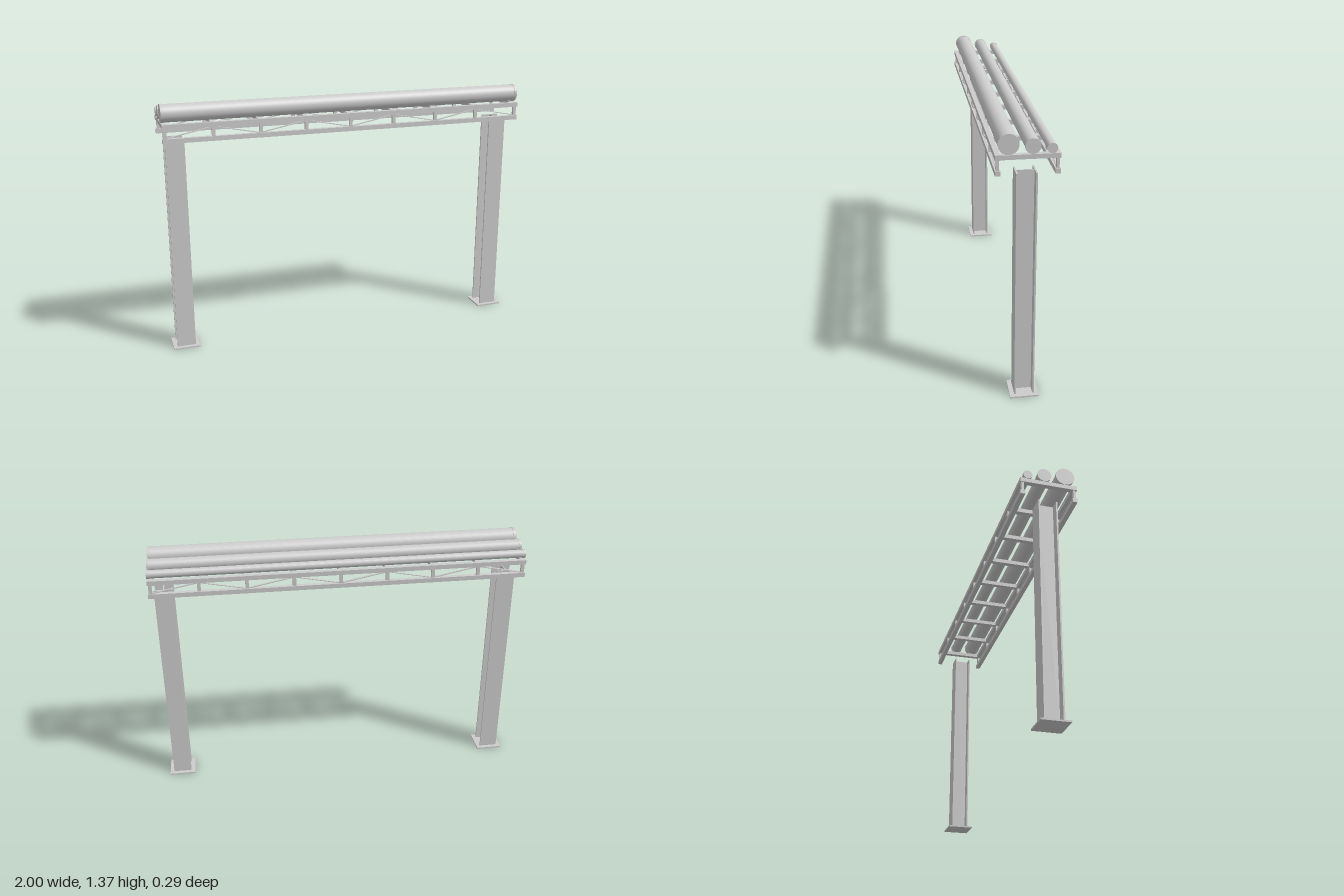
import * as THREE from 'three';

export function createModel() {
  const model = new THREE.Group();
  model.name = 'pipeRack';
  const material = new THREE.MeshStandardMaterial({ color: 0xcccccc });

  const add = (parent, name, geometry, x, y, z) => {
    const mesh = new THREE.Mesh(geometry, material);
    mesh.name = name;
    mesh.position.set(x, y, z);
    parent.add(mesh);
    return mesh;
  };
  const box = (parent, name, w, h, d, x, y, z) =>
    add(parent, name, new THREE.BoxGeometry(w, h, d), x, y, z);

  // I-section columns on base plates
  const plateH = 0.008, columnTop = 1.174;
  const profile = new THREE.Shape([
    [-0.05, -0.049], [0.05, -0.049], [0.05, -0.041], [0.003, -0.041],
    [0.003, 0.041], [0.05, 0.041], [0.05, 0.049], [-0.05, 0.049],
    [-0.05, 0.041], [-0.003, 0.041], [-0.003, -0.041], [-0.05, -0.041],
  ].map(([x, y]) => new THREE.Vector2(x, y)));
  const columnGeometry = new THREE.ExtrudeGeometry(profile, {
    depth: columnTop - plateH, bevelEnabled: false,
  }).rotateX(-Math.PI / 2);
  for (const side of [-1, 1]) {
    const support = new THREE.Group();
    support.name = side > 0 ? 'leftSupport' : 'rightSupport';
    support.position.x = side * 0.928;
    box(support, 'basePlate', 0.144, plateH, 0.144, 0, plateH / 2, 0);
    add(support, 'column', columnGeometry, 0, plateH, 0);
    model.add(support);
  }

  // Two side trusses: chords, posts and alternating thin diagonals
  const bays = 8, chord = 0.024, topY = 1.26, bottomY = 1.187;
  const postX = (i) => -0.986 + (i * 1.972) / bays;
  const low = bottomY + chord / 2, high = topY - chord / 2;
  for (const side of [-1, 1]) {
    const truss = new THREE.Group();
    truss.name = side > 0 ? 'frontTruss' : 'backTruss';
    truss.position.z = side * 0.135;
    box(truss, 'topChord', 2, chord, chord, 0, topY, 0);
    box(truss, 'bottomChord', 2, chord, chord, 0, bottomY, 0);
    for (let i = 0; i <= bays; i++) {
      box(truss, 'post', 0.018, high - low, 0.013, postX(i), (low + high) / 2, 0);
    }
    for (let i = 0; i < bays; i++) {
      const run = postX(1) - postX(0) - 0.018, rise = high - low - 0.004;
      const brace = box(truss, 'diagonal', Math.hypot(run, rise), 0.004, 0.012,
        (postX(i) + postX(i + 1)) / 2, (low + high) / 2, 0);
      brace.rotation.z = (i % 2 ? -1 : 1) * Math.atan2(rise, run);
    }
    model.add(truss);
  }

  // Cross beams joining the top chords
  for (let i = 0; i <= bays; i++) {
    box(model, 'crossBeam', 0.026, chord - 0.002, 0.248, postX(i), topY, 0);
  }

  // Three pipes with slim end collars, resting on the beams
  const pipes = [
    ['largePipe', 0.0485, 0.087],
    ['mediumPipe', 0.036, -0.022],
    ['smallPipe', 0.0235, -0.108],
  ];
  for (const [name, radius, z] of pipes) {
    const pipe = new THREE.Group();
    pipe.name = name;
    pipe.position.set(0, topY + chord / 2 + radius, z);
    const cylinder = (r, length) =>
      new THREE.CylinderGeometry(r, r, length, 48).rotateZ(Math.PI / 2);
    add(pipe, 'pipeBody', cylinder(radius - 0.002, 1.99), 0, 0, 0);
    for (const end of [-1, 1]) add(pipe, 'endCollar', cylinder(radius, 0.014), end * 0.993, 0, 0);
    model.add(pipe);
  }

  return model;
}
